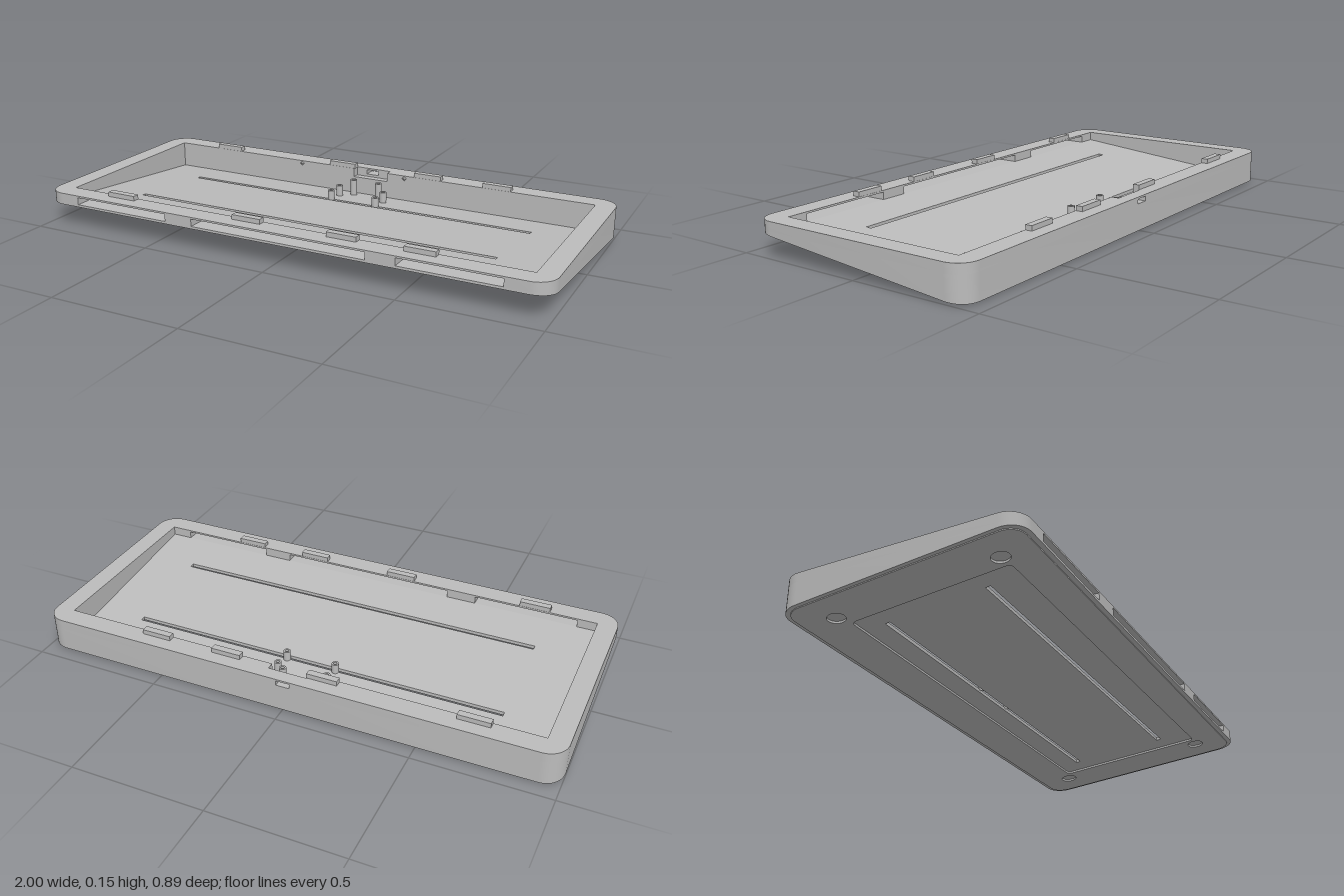
import * as THREE from 'three';
import { toCreasedNormals } from 'three/addons/utils/BufferGeometryUtils.js';

const HALF_X = 1, HALF_Z = 0.445, RADIUS = 0.075;
const IN_X = 0.925, IN_BACK = -0.366, IN_FRONT = 0.365;
const TOP = 0.13, BAND_LOW = 0.095, BAND_HIGH = 0.123;
const LIP = 0.004, POCKET = 0.008, FLOOR = 0.021;
// height of the tilted underside
const slope = z => Math.max(0, 0.04 + 0.0935 * z);

// points of a quarter-circle corner in plan
function corner(sx, sz, hx, hz, r) {
  const pts = [];
  for (let i = 0; i <= 10; i++) {
    const a = i / 10 * Math.PI / 2;
    pts.push([sx * (hx - r + r * Math.cos(a)), sz * (hz - r + r * Math.sin(a))]);
  }
  return pts;
}

function roundedPlan(hx, hz, r) {
  return [
    ...corner(1, 1, hx, hz, r), ...corner(-1, 1, hx, hz, r).reverse(),
    ...corner(-1, -1, hx, hz, r), ...corner(1, -1, hx, hz, r).reverse(),
  ];
}

const rect = (x0, x1, z0, z1) => [[x0, z0], [x1, z0], [x1, z1], [x0, z1]];
const circle = (x, z, r) => Array.from({ length: 24 }, (_, i) => {
  const a = i / 24 * Math.PI * 2;
  return [x + r * Math.cos(a), z + r * Math.sin(a)];
});

// extrudes a plan outline upwards from y0 to y1, outline and holes wound in opposite directions
function slab(outline, holes, y0, y1) {
  const wind = (pts, clockwise) => {
    const v = pts.map(([x, z]) => new THREE.Vector2(x, -z));
    return THREE.ShapeUtils.isClockWise(v) === clockwise ? v : v.reverse();
  };
  const shape = new THREE.Shape(wind(outline, false));
  shape.holes = holes.map(h => new THREE.Path(wind(h, true)));
  const g = new THREE.ExtrudeGeometry(shape, { depth: y1 - y0, bevelEnabled: false });
  return g.rotateX(-Math.PI / 2).translate(0, y0, 0);
}

// sets the height of every vertex by a rule
function setHeights(g, rule) {
  const p = g.attributes.position;
  for (let i = 0; i < p.count; i++) p.setY(i, rule(p.getY(i), p.getZ(i)));
  return g;
}
const tilt = g => setHeights(g, (y, z) => y + slope(z));

export function createModel() {
  const model = new THREE.Group();
  model.name = 'tray';
  const grey = new THREE.MeshStandardMaterial({ color: 0xbcbcbc });
  grey.name = 'grey plastic';
  const add = (name, geometry) => {
    const mesh = new THREE.Mesh(toCreasedNormals(geometry, 0.5), grey);
    mesh.name = name;
    model.add(mesh);
  };
  const box = (name, x0, x1, y0, y1, z0, z1) =>
    add(name, new THREE.BoxGeometry(x1 - x0, y1 - y0, z1 - z0)
      .translate((x0 + x1) / 2, (y0 + y1) / 2, (z0 + z1) / 2));

  const outer = roundedPlan(HALF_X, HALF_Z, RADIUS);
  const inner = rect(-IN_X, IN_X, IN_BACK, IN_FRONT);

  // lower walls, cut along the tilted underside
  add('lowerWalls', setHeights(slab(outer, [inner], 0, BAND_LOW),
    (y, z) => (y < 0.01 ? slope(z) + LIP : y)));

  // wall band: two halves leaving the rear port and the front openings free
  for (const [s, port, opening] of [[1, 0.022, 0.845], [-1, 0.03, 0.85]]) {
    const plan = [
      [s * opening, HALF_Z], ...corner(s, 1, HALF_X, HALF_Z, RADIUS).reverse(),
      ...corner(s, -1, HALF_X, HALF_Z, RADIUS),
      [s * port, -HALF_Z], [s * port, -0.395], [s * 0.075, -0.395], [s * 0.075, IN_BACK],
      [s * IN_X, IN_BACK], [s * IN_X, IN_FRONT], [s * opening, IN_FRONT],
    ];
    add(s > 0 ? 'leftWallBand' : 'rightWallBand', slab(plan, [], BAND_LOW, BAND_HIGH));
  }
  box('portSill', -0.03, 0.022, BAND_LOW, 0.105, -HALF_Z, -0.395);
  for (const [x0, x1] of [[-0.445, -0.33], [0.365, 0.475]]) {
    box('frontPillar', x0, x1, BAND_LOW, BAND_HIGH, IN_FRONT, HALF_Z);
  }

  // top rim with the notch above the port
  const rimHole = [
    [-IN_X, IN_BACK], [-0.075, IN_BACK], [-0.075, -0.395], [0.075, -0.395], [0.075, IN_BACK],
    [IN_X, IN_BACK], [IN_X, IN_FRONT], [-IN_X, IN_FRONT],
  ];
  add('topRim', slab(outer, [rimHole], BAND_HIGH, TOP));

  // sloping floor with two long vents
  const vents = [-0.197, 0.187].map(z => rect(-0.735, 0.735, z - 0.0095, z + 0.0095));
  add('floor', tilt(slab(inner, vents, POCKET, FLOOR)));

  // inset underside frame with shallow pocket and foot recesses
  const feet = [];
  for (const x of [-0.865, 0.865]) for (const z of [-0.307, 0.307]) feet.push(circle(x, z, 0.032));
  const pocket = roundedPlan(0.815, 0.3, 0.02).map(([x, z]) => [x, z + 0.015]);
  add('undersideFrame', tilt(slab(roundedPlan(0.985, 0.428, 0.06), [pocket, ...feet], 0, POCKET)));

  // locating tabs along both long edges
  for (const [x0, x1] of [[-0.742, -0.623], [-0.188, -0.072], [0.192, 0.307], [0.482, 0.597]]) {
    box('backTab', x0, x1, TOP - 0.001, 0.148, -0.393, -0.367);
    box('frontTab', x0, x1, TOP - 0.001, 0.148, 0.366, 0.393);
  }

  // small pointed nubs on the inside of the back wall
  for (const x of [-0.32, 0.15]) {
    add('wallNub', new THREE.ConeGeometry(0.01, 0.006, 4).rotateX(Math.PI / 2)
      .translate(x, 0.119, IN_BACK + 0.003));
  }

  // hollow screw posts for the circuit board
  const posts = [
    [-0.058, -0.329, 0.095], [0.053, -0.329, 0.095], [-0.1, -0.282, 0.078],
    [0.096, -0.282, 0.078], [-0.1, -0.207, 0.078], [0.096, -0.207, 0.078],
  ];
  for (const [x, z, top] of posts) {
    const y = slope(z) + 0.015, h = top - y;
    const profile = [[0.0135, 0], [0.0135, h], [0.007, h], [0.007, h - 0.03], [0, h - 0.03]];
    const g = new THREE.LatheGeometry(profile.map(p => new THREE.Vector2(...p)), 20);
    add('screwPost', g.translate(x, y, z));
  }
  return model;
}
